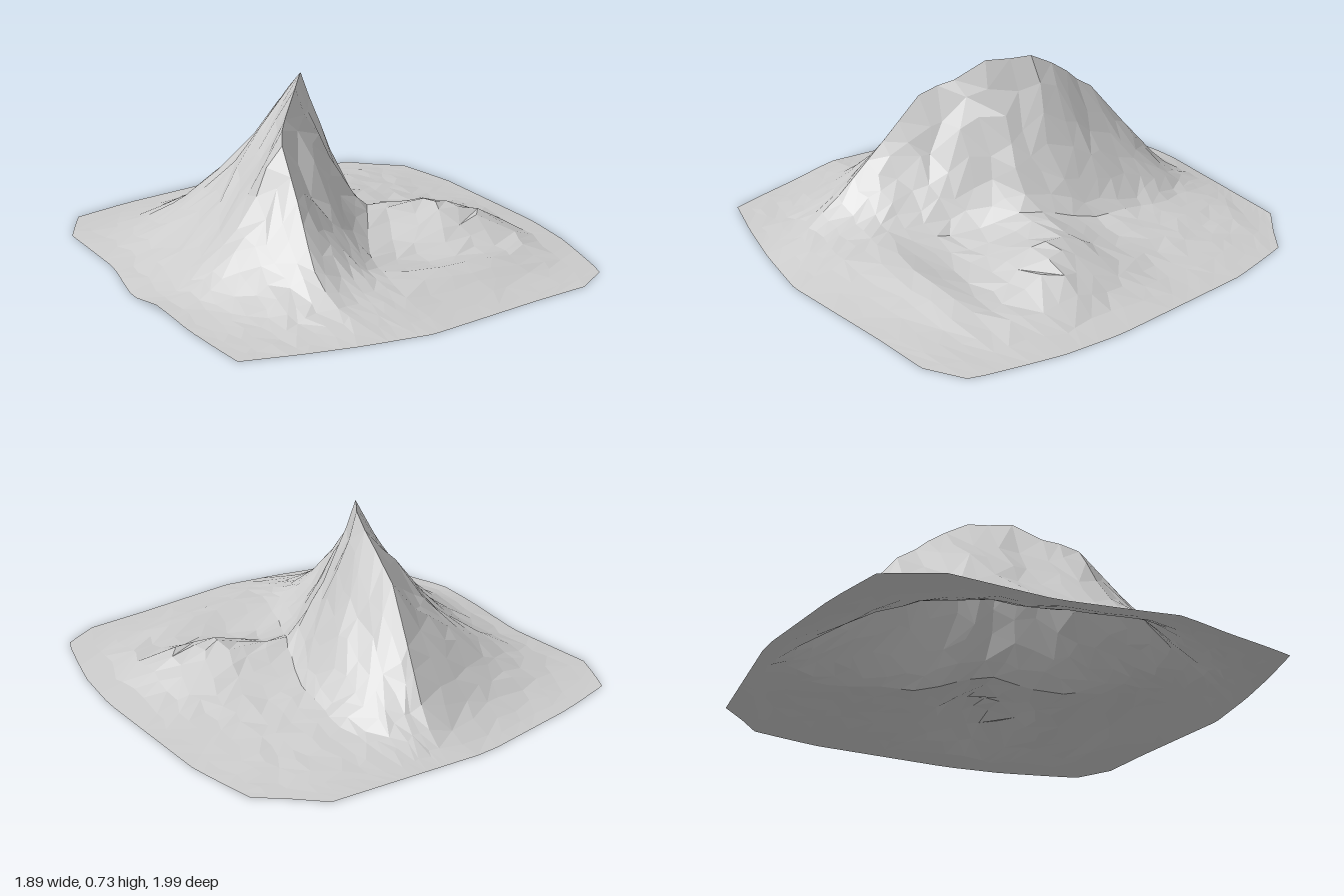
import * as THREE from 'three';

// Guide lines of the landscape, each row: [z, x, height]
const RIDGE = [[-1, 0.1, 0], [-0.9, 0.12, 0.03], [-0.8, 0.1, 0.1], [-0.6, 0.04, 0.34], [-0.45, 0, 0.53],
  [-0.37, -0.01, 0.58], [-0.3, -0.01, 0.65], [-0.23, -0.02, 0.69], [-0.16, -0.04, 0.73], [-0.08, -0.1, 0.715],
  [0.01, -0.16, 0.71], [0.1, -0.26, 0.605], [0.2, -0.33, 0.57], [0.4, -0.36, 0.37], [0.6, -0.4, 0.17],
  [0.75, -0.4, 0.08], [0.85, -0.36, 0.045], [1, -0.3, 0]];
const FOOT = [[-1, 0.3, 0], [-0.8, 0.33, 0.04], [-0.6, 0.36, 0.06], [-0.4, 0.34, 0.07], [-0.2, 0.28, 0.08],
  [0, 0.2, 0.13], [0.07, 0.16, 0.12], [0.2, 0.09, 0.08], [0.35, 0, 0.06], [0.6, -0.08, 0.075], [0.8, -0.1, 0.045], [1, -0.05, 0]];
const LEFT = [[-1, -0.81, 0], [-0.69, -0.92, 0], [-0.2, -0.9, 0], [0.12, -0.95, 0], [0.32, -0.925, 0.03], [0.57, -0.9, 0.01], [1, -0.85, 0]];
const RIGHT = [[-1, 0.65, 0], [-0.85, 0.87, 0], [-0.47, 0.93, 0], [0.2, 0.94, 0], [0.47, 0.91, 0], [0.92, 0.81, 0], [1, 0.65, 0]];

// Front and back rims, each row: [x, reach in z, 0]
const FRONT = [[-0.85, 0.85, 0], [-0.63, 0.91, 0], [-0.4, 0.96, 0], [-0.12, 1, 0], [0.4, 0.94, 0], [0.65, 0.92, 0], [0.81, 0.88, 0]];
const BACK = [[-0.81, 0.85, 0], [-0.55, 0.92, 0], [-0.05, 1, 0], [0.65, 0.95, 0], [0.87, 0.85, 0]];

// Hills, ribs and hollows: [x, z, height, radius x, radius z]
const BUMPS = [
  [0.45, 0.19, 0.115, 0.18, 0.18], [0.66, 0.3, 0.055, 0.13, 0.22], [0.27, 0.06, 0.015, 0.1, 0.08],
  [0.2, 0.42, -0.02, 0.14, 0.14], [0.12, 0.67, 0.02, 0.25, 0.11], [0.4, 0.62, 0.025, 0.2, 0.14],
  [0.54, -0.1, 0.015, 0.08, 0.13], [-0.55, -0.3, 0.02, 0.15, 0.12], [-0.6, 0.35, 0.02, 0.12, 0.1],
  [-0.13, 0.14, 0.06, 0.05, 0.07], [-0.22, 0.2, -0.05, 0.05, 0.07],
  [-0.32, 0.03, -0.03, 0.09, 0.07], [-0.27, -0.22, 0.035, 0.1, 0.1], [-0.3, -0.55, 0.02, 0.12, 0.1],
];

// Second and third value of a guide line at a given position
function sample(line, at) {
  let i = 0;
  while (i < line.length - 2 && at > line[i + 1][0]) i++;
  const [a, b] = [line[i], line[i + 1]];
  const t = (at - a[0]) / (b[0] - a[0]);
  return { x: a[1] + (b[1] - a[1]) * t, h: a[2] + (b[2] - a[2]) * t };
}

function seeded(seed) {
  return () => {
    seed = (seed * 16807) % 2147483647;
    return seed / 2147483647 - 0.5;
  };
}

function terrainGeometry() {
  const rand = seeded(4711);
  const rows = 26, slope = 9, cliff = 6, plain = 8;
  const cols = slope + cliff + plain;
  const positions = [], index = [];

  for (let j = 0; j <= rows; j++) {
    const rowZ = -1 + (2 * j) / rows;
    for (let i = 0; i <= cols; i++) {
      const border = i === 0 || i === cols || j === 0 || j === rows;
      const v = border ? rowZ : rowZ + rand() * 0.04;
      const ridge = sample(RIDGE, v), foot = sample(FOOT, v);
      const left = sample(LEFT, v), right = sample(RIGHT, v);
      const k = i + (border || i === slope ? 0 : rand() * 0.5);
      let x, y;
      if (i <= slope) { // gentle side, flaring out towards the edge
        const t = Math.min(k / slope, 1);
        x = left.x + (ridge.x - left.x) * t;
        y = ridge.h * (0.9 * t * t + 0.1 * t) + left.h * (1 - t) ** 2;
      } else if (i <= slope + cliff) { // steep face
        const t = Math.min((k - slope) / cliff, 1);
        x = ridge.x + (foot.x - ridge.x) * t;
        y = foot.h + (ridge.h - foot.h) * Math.pow(1 - t, 1.25);
      } else { // low ground
        const t = (k - slope - cliff) / plain;
        x = foot.x + (right.x - foot.x) * t;
        y = foot.h * Math.pow(1 - t, 1.15);
      }
      // hills, gullies and roughness, fading out at the rim
      const edge = Math.min(x - left.x, right.x - x, 1 - Math.abs(v));
      const fade = border ? 0 : THREE.MathUtils.clamp(edge * 4, 0, 1);
      if (i !== slope) {
        for (const [bx, bz, bh, rx, rz] of BUMPS) {
          y += fade * bh * Math.exp(-(((x - bx) / rx) ** 2) - ((v - bz) / rz) ** 2);
        }
        y += fade * (Math.sin(v * 19 + x * 5) * 0.03 * y + rand() * (0.008 + 0.04 * y));
      }
      // bend the rows to follow the front and back rims
      const reach = sample(v > 0 ? FRONT : BACK, x).x;
      const z = v * (1 - (1 - reach) * v * v);
      positions.push(x, Math.max(y, 0), z);
    }
  }
  // vary the diagonals for an irregular facet pattern
  for (let j = 0; j < rows; j++) {
    for (let i = 0; i < cols; i++) {
      const a = j * (cols + 1) + i, b = a + 1, c = a + cols + 1, d = c + 1;
      if (rand() > 0) index.push(a, c, b, b, c, d);
      else index.push(a, c, d, a, d, b);
    }
  }
  const geometry = new THREE.BufferGeometry();
  geometry.setAttribute('position', new THREE.Float32BufferAttribute(positions, 3));
  geometry.setIndex(index);
  geometry.computeVertexNormals();
  return geometry;
}

export function createModel() {
  const group = new THREE.Group();
  group.name = 'mountain';
  // open shell of land, visible from below as well
  const material = new THREE.MeshStandardMaterial({ color: 0xcccccc, flatShading: true, side: THREE.DoubleSide });
  const terrain = new THREE.Mesh(terrainGeometry(), material);
  terrain.name = 'terrain';
  group.add(terrain);
  return group;
}
